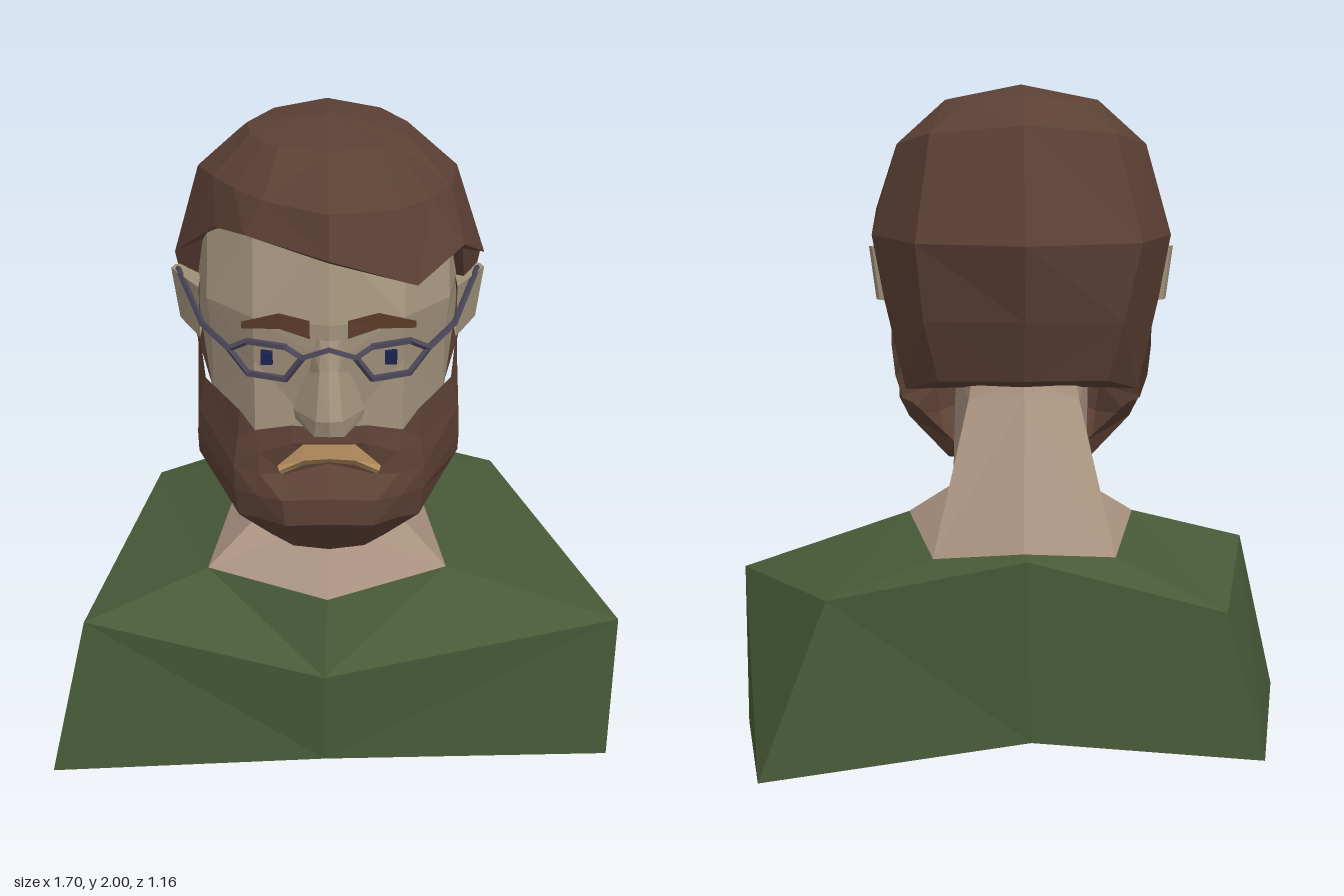
import * as THREE from 'three';

const material = (color) => new THREE.MeshStandardMaterial({ color, flatShading: true, side: THREE.DoubleSide });
const SHIRT = material(0x485a38), SKIN = material(0xa8917f), FACE = material(0xa0907a);
const HAIR = material(0x5c4034), BROW = material(0x5a3a28), LIP = material(0xb08a5c);
const FRAME = material(0x4b4658), PUPIL = material(0x1a2250);

function addMesh(parent, name, geometry, mat) {
  const mesh = new THREE.Mesh(geometry, mat);
  mesh.name = name;
  parent.add(mesh);
  return mesh;
}

const distance = (p, q) => Math.hypot(p[0] - q[0], p[1] - q[1], p[2] - q[2]);

// Skin between rows of points; rows run top to bottom, points run towards +x on the front.
// Each quad is split along its shorter diagonal.
function skinRows(rows) {
  const positions = [];
  for (let r = 0; r < rows.length - 1; r++) {
    for (let i = 0; i < rows[r].length - 1; i++) {
      const a = rows[r][i], b = rows[r + 1][i], c = rows[r + 1][i + 1], d = rows[r][i + 1];
      const corners = distance(a, c) <= distance(b, d) ? [a, b, c, a, c, d] : [a, b, d, b, c, d];
      positions.push(...corners.flat());
    }
  }
  const geometry = new THREE.BufferGeometry();
  geometry.setAttribute('position', new THREE.Float32BufferAttribute(positions, 3));
  geometry.computeVertexNormals();
  return geometry;
}

// Complete a half row (centre to +x) with its mirror image
const mirrorRow = (half) => [...half.slice(1).reverse().map(([x, y, z]) => [-x, y, z]), ...half];
const closeRow = (row) => [...row, row[0]];

// Straight square bar between two points
function addBar(parent, name, from, to, size, mat) {
  const a = new THREE.Vector3(...from), b = new THREE.Vector3(...to);
  const bar = addMesh(parent, name, new THREE.BoxGeometry(size, size, a.distanceTo(b) + size * 0.5), mat);
  bar.position.copy(a).add(b).multiplyScalar(0.5);
  bar.quaternion.setFromUnitVectors(new THREE.Vector3(0, 0, 1), b.sub(a).normalize());
}

export function createModel() {
  const model = new THREE.Group();
  model.name = 'bust';

  // Shirt: collar, shoulder and hem loops, open at the bottom
  const collar = [[-0.02, 0.71, 0.45], [0.33, 0.69, 0.25], [0.24, 0.69, -0.41],
    [-0.01, 0.73, -0.53], [-0.27, 0.69, -0.4], [-0.37, 0.69, 0.25]];
  const shoulder = [[-0.03, 0.51, 0.55], [0.85, 0.51, 0.27], [0.53, 0.6, -0.52],
    [-0.02, 0.72, -0.58], [-0.57, 0.56, -0.52], [-0.73, 0.58, 0.37]];
  const hem = [[-0.03, 0.2, 0.53], [0.85, 0, 0.27], [0.72, 0.1, -0.57],
    [-0.03, 0.21, -0.57], [-0.68, 0.14, -0.53], [-0.85, 0.07, 0.42]];
  addMesh(model, 'shirt', skinRows([collar, shoulder, hem].map(closeRow)), SHIRT);

  // Neck: flares out from the head to the collar
  const neckTop = [[-0.02, 1.15, 0.15], [0.18, 1.15, 0.12], [0.13, 1.16, -0.12],
    [-0.02, 1.16, -0.17], [-0.17, 1.16, -0.12], [-0.22, 1.15, 0.12]];
  const neckMid = [[-0.02, 0.79, 0.15], [0.19, 0.8, 0.13], [0.14, 1.1, -0.14],
    [-0.02, 1.11, -0.2], [-0.18, 1.1, -0.14], [-0.22, 0.8, 0.13]];
  addMesh(model, 'neck', skinRows([neckTop, neckMid, collar].map(closeRow)), SKIN);

  const head = new THREE.Group();
  head.name = 'head';
  head.position.x = -0.015;
  model.add(head);

  // Face: sloping forehead, brow, eye and cheek rows
  addMesh(head, 'face', skinRows([
    [[0, 1.8, 0.4], [0.2, 1.8, 0.29], [0.33, 1.71, 0.13], [0.37, 1.58, -0.08]],
    [[0, 1.58, 0.46], [0.2, 1.58, 0.41], [0.33, 1.56, 0.24], [0.38, 1.53, -0.08]],
    [[0, 1.47, 0.46], [0.2, 1.45, 0.4], [0.32, 1.45, 0.24], [0.38, 1.45, -0.08]],
    [[0, 1.22, 0.44], [0.2, 1.2, 0.42], [0.32, 1.25, 0.23], [0.36, 1.25, -0.08]],
  ].map(mirrorRow)), FACE);

  // Nose: narrow bridge widening to the wings, with a flat underside
  addMesh(head, 'nose', skinRows([
    [[0, 1.54, 0.47], [0.025, 1.54, 0.46], [0.05, 1.53, 0.43]],
    [[0, 1.47, 0.5], [0.025, 1.46, 0.49], [0.06, 1.43, 0.43]],
    [[0, 1.36, 0.58], [0.035, 1.35, 0.56], [0.095, 1.33, 0.45]],
    [[0, 1.31, 0.57], [0.04, 1.3, 0.55], [0.09, 1.3, 0.45]],
    [[0, 1.28, 0.46], [0.04, 1.28, 0.46], [0.08, 1.29, 0.45]],
  ].map(mirrorRow)), FACE);

  // Hair: crown to hairline, then down the back to the nape
  const hairRows = [
    Array(7).fill([0, 2, 0]),
    [[0, 1.97, 0.22], [0.13, 1.965, 0.18], [0.17, 1.96, 0.12], [0.21, 1.96, 0.06], [0.22, 1.955, -0.05], [0.15, 1.95, -0.18], [0, 1.965, -0.22]],
    [[0, 1.89, 0.46], [0.18, 1.88, 0.4], [0.27, 1.87, 0.3], [0.33, 1.85, 0.16], [0.36, 1.83, -0.05], [0.26, 1.86, -0.24], [0, 1.88, -0.33]],
    [[0, 1.78, 0.5], [0.23, 1.69, 0.45], [0.36, 1.74, 0.3], [0.43, 1.64, 0.12], [0.435, 1.57, -0.05], [0.3, 1.56, -0.34], [0, 1.56, -0.48]],
    [[0, 1.74, 0.42], [0.2, 1.72, 0.38], [0.3, 1.75, 0.27], [0.37, 1.65, 0.12], [0.4, 1.38, -0.05], [0.28, 1.34, -0.31], [0, 1.35, -0.42]],
    [[0, 1.76, 0.36], [0.17, 1.75, 0.26], [0.24, 1.75, 0.18], [0.3, 1.66, 0.08], [0.34, 1.12, -0.06], [0.24, 1.17, -0.27], [0, 1.18, -0.36]],
    [[0, 1.76, 0.3], [0.16, 1.75, 0.22], [0.22, 1.75, 0.15], [0.28, 1.66, 0.06], [0.15, 1.12, -0.03], [0.12, 1.14, -0.14], [0, 1.14, -0.18]],
  ].map(mirrorRow);
  // Parting: on the right side the hair is flatter and its line recedes
  hairRows[2].splice(3, 3, [-0.31, 1.86, 0.11], [-0.25, 1.87, 0.22], [-0.17, 1.88, 0.34]);
  hairRows[3].splice(3, 3, [-0.375, 1.66, 0.08], [-0.305, 1.75, 0.2], [-0.22, 1.79, 0.35]);
  hairRows[4].splice(3, 3, [-0.34, 1.66, 0.06], [-0.265, 1.75, 0.18], [-0.195, 1.79, 0.29]);
  hairRows[3][1] = [-0.33, 1.56, -0.32];
  addMesh(head, 'hair', skinRows(hairRows), HAIR);

  // Beard: moustache line, recessed mouth, chin, then under the jaw
  addMesh(head, 'beard', skinRows([
    [[0, 1.28, 0.47], [0.1, 1.29, 0.47], [0.2, 1.26, 0.44], [0.24, 1.31, 0.42], [0.34, 1.32, 0.25], [0.38, 1.36, -0.06]],
    [[0, 1.24, 0.48], [0.1, 1.24, 0.48], [0.19, 1.2, 0.46], [0.25, 1.22, 0.42], [0.365, 1.22, 0.23], [0.38, 1.25, -0.06]],
    [[0, 1.16, 0.45], [0.12, 1.14, 0.47], [0.19, 1.14, 0.47], [0.26, 1.14, 0.43], [0.37, 1.13, 0.22], [0.37, 1.16, -0.06]],
    [[0, 1.1, 0.54], [0.13, 1.09, 0.53], [0.2, 1.08, 0.48], [0.26, 1.07, 0.43], [0.37, 1.06, 0.2], [0.35, 1.09, -0.04]],
    [[0, 1.02, 0.54], [0.12, 1.01, 0.53], [0.19, 1.0, 0.47], [0.25, 0.98, 0.42], [0.34, 1.0, 0.2], [0.32, 1.07, 0]],
    [[0, 0.85, 0.4], [0.1, 0.85, 0.38], [0.16, 0.855, 0.33], [0.22, 0.86, 0.27], [0.22, 0.88, 0.17], [0.2, 0.93, 0.13]],
    [[0, 0.86, 0.2], [0.08, 0.86, 0.2], [0.1, 0.865, 0.2], [0.12, 0.87, 0.19], [0.14, 0.9, 0.16], [0.15, 0.94, 0.13]],
    [[0, 1.08, 0.05], [0.08, 1.08, 0.05], [0.1, 1.08, 0.04], [0.12, 1.08, 0.03], [0.15, 1.08, 0], [0.15, 1.1, -0.04]],
  ].map(mirrorRow)), HAIR);

  // Downturned lip, leaning back into the mouth
  addMesh(head, 'lip', skinRows([
    [[0, 1.24, 0.485], [0.07, 1.24, 0.485], [0.14, 1.17, 0.478]],
    [[0, 1.2, 0.495], [0.07, 1.195, 0.495], [0.135, 1.16, 0.49]],
    [[0, 1.175, 0.47], [0.07, 1.17, 0.475], [0.13, 1.145, 0.48]],
  ].map(mirrorRow)), LIP);

  for (const s of [-1, 1]) {
    const side = s > 0 ? 'left' : 'right';

    // Ear: wedge flaring outwards to the back
    const earRow = (y, out) => [[0.36, y, 0.12], [out, y, -0.015], [out - 0.01, y, -0.04], [0.36, y, -0.06]]
      .map(([x, h, z]) => [s * x, h, z]);
    const earInside = (y) => Array(4).fill([s * 0.36, y, 0]);
    addMesh(head, side + 'Ear', skinRows(
      [earInside(1.53), earRow(1.535, 0.445), earRow(1.38, 0.425), earInside(1.37)]
        .map((row) => (s > 0 ? row : row.reverse()))), FACE);

    // Eyebrow: arched strip
    addMesh(head, side + 'Eyebrow', skinRows([
      [[s * 0.05, 1.6, 0.47], [s * 0.13, 1.615, 0.455], [s * 0.23, 1.575, 0.42]],
      [[s * 0.05, 1.55, 0.475], [s * 0.13, 1.57, 0.455], [s * 0.23, 1.555, 0.42]],
    ].map((row) => (s > 0 ? row : row.reverse()))), BROW);

    // Pupil
    const pupil = addMesh(head, side + 'Pupil', new THREE.BoxGeometry(0.032, 0.036, 0.02), PUPIL);
    pupil.position.set(s * 0.165, 1.47, 0.42);

    // Glasses: six-sided rim, temple bar and half of the bridge
    const glasses = new THREE.Group();
    glasses.name = side + 'Glasses';
    head.add(glasses);
    const rim = [[0.07, 1.495], [0.115, 1.52], [0.215, 1.52], [0.265, 1.49], [0.215, 1.425], [0.115, 1.425]]
      .map(([x, y]) => [s * x, y, 0.5 - x * 0.35]);
    rim.forEach((p, i) => addBar(glasses, 'rim', p, rim[(i + 1) % 6], 0.013, FRAME));
    addBar(glasses, 'bridge', rim[0], [0, 1.525, 0.49], 0.013, FRAME);
    addBar(glasses, 'hinge', rim[3], [s * 0.34, 1.51, 0.3], 0.013, FRAME);
    addBar(glasses, 'temple', [s * 0.34, 1.51, 0.3], [s * 0.425, 1.535, -0.01], 0.012, FRAME);
  }

  return model;
}
